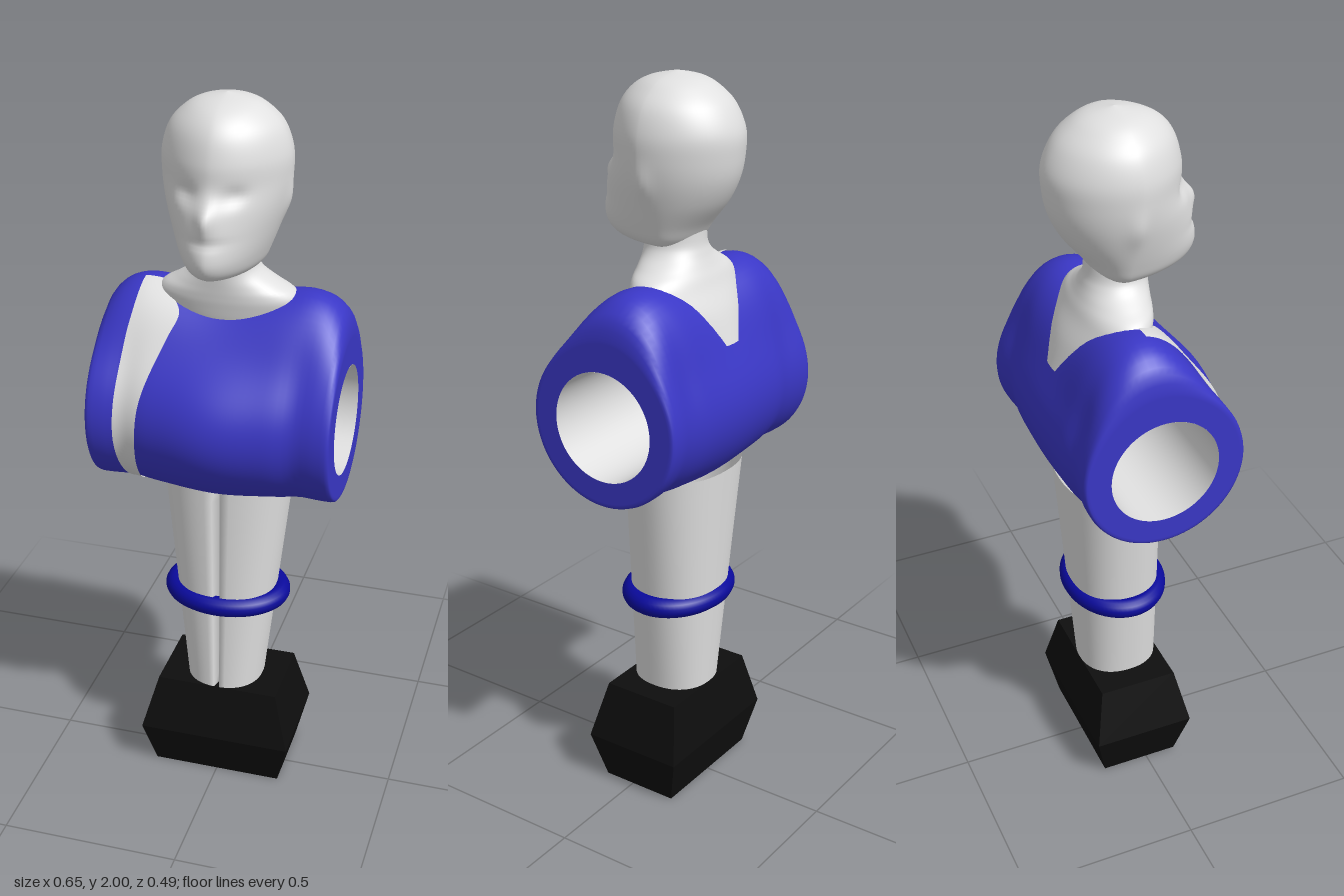
import * as THREE from 'three';

const { lerp, clamp, degToRad } = THREE.MathUtils;
const TAU = Math.PI * 2;
const gauss = (d, w) => Math.exp(-(d / w) * (d / w));
const spow = (v, p) => Math.sign(v) * Math.abs(v) ** p;

// Smoothly samples rows of key values, u from 0 to 1
function sample(keys, u) {
  const n = keys.length - 1;
  const f = clamp(u, 0, 1) * n;
  const i = Math.min(Math.floor(f), n - 1);
  const t = f - i;
  const at = (k) => keys[clamp(k, 0, n)];
  return keys[i].map((p1, c) => {
    const p0 = at(i - 1)[c], p2 = at(i + 1)[c], p3 = at(i + 2)[c];
    return p1 + 0.5 * t * (p2 - p0 + t * (2 * p0 - 5 * p1 + 4 * p2 - p3 + t * (3 * (p1 - p2) + p3 - p0)));
  });
}

// Skin over rows of [x, y, z] points; closed joins each row's last point to its first
function loft(rows, closed = true) {
  const n = rows[0].length;
  const index = [];
  for (let i = 0; i < rows.length - 1; i++) {
    for (let j = 0; j < (closed ? n : n - 1); j++) {
      const k = (j + 1) % n;
      const a = i * n + j, b = i * n + k, c = b + n, d = a + n;
      index.push(a, b, c, a, c, d);
    }
  }
  const g = new THREE.BufferGeometry();
  g.setAttribute('position', new THREE.Float32BufferAttribute(rows.flat(2), 3));
  g.setIndex(index);
  g.computeVertexNormals();
  return g;
}

const range = (n, fn) => Array.from({ length: n }, (_, i) => fn(i));
const turn = (n) => range(n, (i) => (i / n) * TAU);

// Torso surface: angle runs from the front (+z) over the top to the back
const AXIS_Y = 1.15, AXIS_Z = -0.02, BORE = 0.148, HALF = 0.327;
function torsoPoint(x, angle, inset = 0, lift = 0) {
  const ax = Math.abs(x);
  const wrap = (deg) => {
    const d = angle - degToRad(deg);
    return Math.atan2(Math.sin(d), Math.cos(d));
  };
  const f = clamp((ax - 0.2) / 0.127, 0, 1);
  const shoulder = 0.025 + 0.105 * Math.sqrt(1 - f * f) - 0.03 * gauss(x, 0.15);
  const mid = gauss(x, 0.16);
  let r = 0.22;
  r += shoulder * gauss(wrap(98), degToRad(32));
  r += 0.04 * mid * gauss(wrap(0), degToRad(42));
  r += 0.022 * mid * gauss(wrap(-90), degToRad(50));
  r += 0.006 * mid * gauss(wrap(180), degToRad(40));
  r -= 0.01 * gauss(ax - 0.23, 0.04) * Math.abs(Math.cos(angle));
  r = lerp(r, BORE, inset) + lift;
  return [x, AXIS_Y + r * Math.sin(angle), AXIS_Z + r * Math.cos(angle)];
}

function torsoGeometry() {
  const ends = [[HALF, 1], [HALF, 0.6], [HALF, 0.2], [HALF, 0.1], [0.324, 0.03], [0.316, 0]];
  const body = range(37, (i) => [lerp(0.305, -0.305, i / 36), 0]);
  const steps = [...ends, ...body, ...ends.map(([x, t]) => [-x, t]).reverse()];
  return loft(steps.map(([x, t]) => turn(96).map((a) => torsoPoint(x, a, t))));
}

// Diagonal band on the right of the chest: [degrees, outer x, inner x]
function stripeGeometry() {
  const keys = [
    [-70, -0.232, -0.208], [-40, -0.243, -0.196], [-10, -0.25, -0.187], [18, -0.249, -0.178],
    [42, -0.245, -0.155], [62, -0.24, -0.128], [75, -0.232, -0.108], [83, -0.228, -0.135], [92, -0.225, -0.175],
  ];
  const rows = range(9, (i) => range(65, (j) => {
    const [deg, outer, inner] = sample(keys, j / 64);
    return torsoPoint(lerp(inner, outer, i / 8), degToRad(deg), 0, 0.003);
  }));
  return loft(rows, false);
}

// Neck spreading into the shoulders: [y, half width, front z, back z]
function neckGeometry() {
  const keys = [
    [1.32, 0.13, 0.0, -0.2], [1.4, 0.175, 0.04, -0.174], [1.46, 0.192, 0.054, -0.145], [1.49, 0.178, 0.058, -0.132],
    [1.515, 0.138, 0.06, -0.12], [1.545, 0.096, 0.062, -0.108], [1.58, 0.08, 0.064, -0.1], [1.66, 0.08, 0.06, -0.1],
  ];
  return loft(range(36, (i) => {
    const [y, rx, front, back] = sample(keys, i / 35);
    const cz = (front + back) / 2, rz = (front - back) / 2;
    return turn(56).map((a) => [rx * Math.sin(a), y, cz + rz * Math.cos(a)]);
  }));
}

// Head with a wedge-shaped face: [y, half width, front z, back z]
function headGeometry() {
  const keys = [
    [1.562, 0.001, 0.03, -0.025], [1.566, 0.075, 0.125, -0.06], [1.582, 0.1, 0.175, -0.085], [1.62, 0.118, 0.197, -0.112],
    [1.68, 0.14, 0.188, -0.16], [1.74, 0.157, 0.174, -0.19], [1.8, 0.166, 0.153, -0.202], [1.86, 0.166, 0.148, -0.202],
    [1.92, 0.147, 0.13, -0.175], [1.96, 0.112, 0.098, -0.135], [1.985, 0.07, 0.05, -0.09], [2.0, 0.0, -0.02, -0.021],
  ];
  return loft(range(67, (i) => {
    const [y, rx, front, back] = sample(keys, i / 66);
    return turn(80).map((a) => {
      const s = Math.sin(a), c = Math.cos(a), face = c > 0;
      let x = rx * spow(s, face ? 1.15 : 1.05);
      let z = -0.02 + (face ? (front + 0.02) * spow(c, 1.2) : (back + 0.02) * spow(-c, 1.05));
      if (face) {
        const ax = Math.abs(x);
        z += 0.02 * gauss(x, 0.024) * gauss(y - 1.735, 0.035); // nose
        z -= 0.012 * gauss(ax - 0.06, 0.03) * gauss(y - 1.785, 0.022); // eye sockets
        z -= 0.006 * gauss(x, 0.05) * gauss(y - 1.675, 0.012); // mouth
      }
      x += Math.sign(s) * 0.008 * gauss(z + 0.025, 0.025) * gauss(y - 1.74, 0.045) * Math.abs(s); // ears
      return [x, y, z];
    });
  }));
}

// Joined legs with a narrow groove down the front
function legsGeometry() {
  const half = range(28, (i) => lerp(0.05, Math.PI, i / 27));
  const angles = [0, ...half, ...half.slice(0, -1).reverse().map((a) => TAU - a)];
  return loft(range(13, (i) => {
    const t = i / 12, y = lerp(0.28, 0.96, t);
    const rx = lerp(0.107, 0.181, t), back = lerp(-0.134, -0.184, t), front = 0.09;
    const cz = (front + back) / 2, rz = (front - back) / 2;
    return angles.map((a) => [
      rx * spow(Math.sin(a), 0.88), y,
      cz + rz * spow(Math.cos(a), 0.88) - (a === 0 ? 0.028 : 0),
    ]);
  }));
}

// Flat-sided foot block: [y, half width, front z, back z]
function footGeometry() {
  const levels = [
    [0, 0.001, -0.02, -0.021], [0, 0.185, 0.09, -0.133], [0.135, 0.218, 0.126, -0.165],
    [0.295, 0.174, 0.09, -0.135], [0.295, 0.001, -0.02, -0.021],
  ];
  const g = loft(levels.map(([y, w, f, b]) => [[-w, y, f], [w, y, f], [w, y, b], [-w, y, b]])).toNonIndexed();
  g.computeVertexNormals();
  return g;
}

export function createModel() {
  const material = (name, color, extra = {}) => {
    const m = new THREE.MeshStandardMaterial({ color, ...extra });
    m.name = name;
    return m;
  };
  const pale = material('paleGrey', 0xe0e0e0, { side: THREE.DoubleSide });
  const blue = material('shirtBlue', 0x3a37c6);
  const navy = material('bandBlue', 0x0a0a9c);
  const black = material('black', 0x0e0e0e);

  const model = new THREE.Group();
  model.name = 'tableFootballPlayer';
  const add = (name, geometry, mat) => {
    const mesh = new THREE.Mesh(geometry, mat);
    mesh.name = name;
    model.add(mesh);
    return mesh;
  };

  add('footBlock', footGeometry(), black);
  add('legs', legsGeometry(), pale);

  // Band around the legs
  const loop = turn(32).map((a) => new THREE.Vector3(0.152 * Math.sin(a), 0.573, -0.03 + 0.118 * Math.cos(a)));
  add('legBand', new THREE.TubeGeometry(new THREE.CatmullRomCurve3(loop, true), 80, 0.028, 14, true), navy);

  add('shirt', torsoGeometry(), blue);
  add('shirtStripe', stripeGeometry(), pale);

  // Hole for the rod
  const bore = add('rodHole', new THREE.CylinderGeometry(BORE, BORE, HALF * 2, 64, 1, true), pale);
  bore.rotation.z = Math.PI / 2;
  bore.position.set(0, AXIS_Y, AXIS_Z);

  add('neck', neckGeometry(), pale);
  add('head', headGeometry(), pale);
  return model;
}
